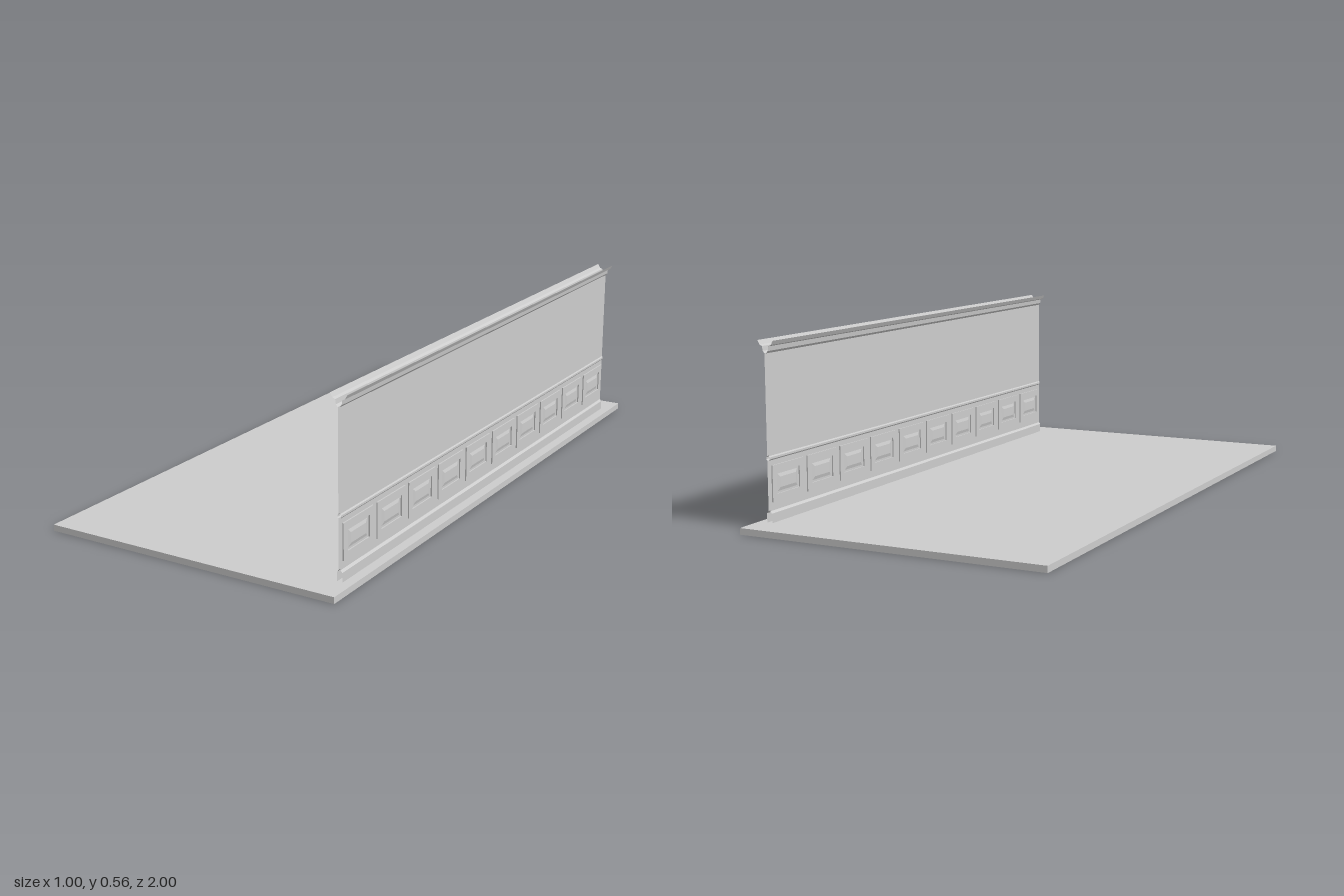
import * as THREE from 'three';

const WALL_X = 0.46, WALL_LENGTH = 1.816, PANELS = 10;

// Open moulding skin: a profile of [offset, height] swept along z
function sweep(profile, sign) {
  const g = new THREE.PlaneGeometry(WALL_LENGTH, 1, 1, profile.length - 1);
  const p = g.attributes.position;
  for (let i = 0; i < p.count; i++) {
    const [offset, y] = profile[Math.floor(i / 2)];
    p.setXYZ(i, offset * sign, y, -sign * p.getX(i));
  }
  const flat = g.toNonIndexed();
  flat.computeVertexNormals();
  return flat;
}

function rectangle(Type, w, h) {
  return new Type([
    new THREE.Vector2(-w / 2, -h / 2), new THREE.Vector2(w / 2, -h / 2),
    new THREE.Vector2(w / 2, h / 2), new THREE.Vector2(-w / 2, h / 2),
  ]);
}

// Extrude, centred on its thickness and turned to face sideways
function slab(shape, options) {
  const g = new THREE.ExtrudeGeometry(shape, options);
  g.center();
  g.rotateY(Math.PI / 2);
  return g;
}

export function createModel() {
  const model = new THREE.Group();
  model.name = 'wallWithFloor';
  const plaster = new THREE.MeshStandardMaterial({ color: 0xcccccc, side: THREE.DoubleSide });
  plaster.name = 'light grey plaster';

  const add = (name, geometry, x, y, z) => {
    const mesh = new THREE.Mesh(geometry, plaster);
    mesh.name = name;
    mesh.position.set(x, y, z);
    model.add(mesh);
  };

  add('floor', new THREE.BoxGeometry(1, 0.02, 2), 0, 0.01, 0);

  // Skirting, wainscot, chair rail, wall and flared cornice on both sides
  const profile = [
    [0.027, 0.565], [0.02, 0.552], [0.011, 0.548], [0.009, 0.534], [0.003, 0.527],
    [0.003, 0.222], [0.006, 0.218], [0.006, 0.212], [0.003, 0.208],
    [0.003, 0.056], [0.009, 0.049], [0.009, 0.02],
  ];
  add('wallFaceLeft', sweep(profile, 1), WALL_X, 0, 0);
  add('wallFaceRight', sweep(profile, -1), WALL_X, 0, 0);

  // Wainscot panels: a frame through the wall and a bevelled raised field
  const frameShape = rectangle(THREE.Shape, 0.16, 0.112);
  frameShape.holes.push(rectangle(THREE.Path, 0.118, 0.066));
  const frame = slab(frameShape, { depth: 0.014, bevelEnabled: false });
  const field = slab(rectangle(THREE.Shape, 0.08, 0.032), {
    depth: 0.004, bevelThickness: 0.004, bevelSize: 0.014, bevelSegments: 1,
  });
  const pitch = WALL_LENGTH / PANELS;
  for (let i = 0; i < PANELS; i++) {
    const z = (i - (PANELS - 1) / 2) * pitch;
    add('panelFrame', frame, WALL_X, 0.136, z);
    add('panelField', field, WALL_X, 0.136, z);
  }
  return model;
}
